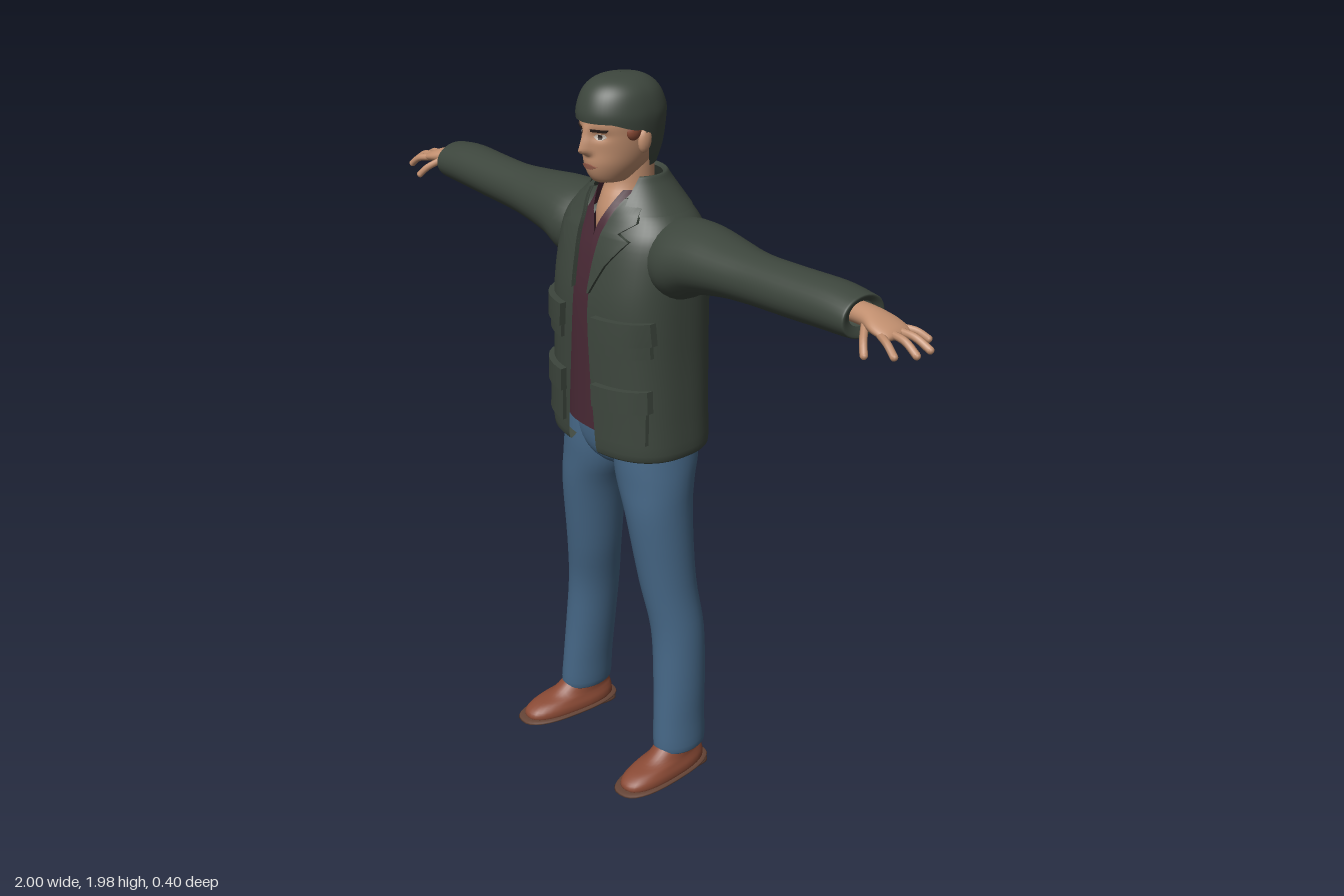
import * as THREE from 'three';
import { mergeGeometries } from 'three/addons/utils/BufferGeometryUtils.js';

const mat = (name, color, side = THREE.FrontSide) => {
  const m = new THREE.MeshStandardMaterial({ color, side });
  m.name = name;
  return m;
};
const { smoothstep, clamp, lerp } = THREE.MathUtils;

// A cross-section row is [height, halfWidth, zFront, zBack, centreX, roundness, frontGap].
const DEFAULTS = [0, 0, 0, 0, 0, 2, 0];
const at = (rows, s) => {
  const n = rows.length - 1, i = Math.min(Math.floor(s), n - 1), f = s - i;
  return DEFAULTS.map((d, k) => {
    const v = (j) => rows[clamp(j, 0, n)][k] ?? d;
    const [a, b, c, e] = [v(i - 1), v(i), v(i + 1), v(i + 2)];
    return b + 0.5 * f * (c - a + f * (2 * a - 5 * b + 4 * c - e + f * (3 * (b - c) + e - a)));
  });
};
const findRow = (rows, y) => {
  let lo = 0, hi = rows.length - 1;
  for (let k = 0; k < 24; k++) {
    const m = (lo + hi) / 2;
    if (at(rows, m)[0] < y) lo = m; else hi = m;
  }
  return lo;
};
const pw = (v, p) => Math.sign(v) * Math.abs(v) ** p;

// Skin stacked cross-sections; open leaves the front gap, hem sets a lower edge by angle.
function loft(rows, { nu = 32, sub = 4, open = false, hem, bump } = {}) {
  const nv = (rows.length - 1) * sub, cols = open ? nu + 1 : nu, pos = [], idx = [];
  for (let j = 0; j <= nv; j++) {
    for (let i = 0; i < cols; i++) {
      const u = i / nu;
      const s0 = hem ? findRow(rows, hem(Math.PI - Math.abs(u * 2 - 1) * Math.PI)) : 0;
      const [y, rx, zf, zb, cx, n, gap] = at(rows, lerp(s0, rows.length - 1, j / nv));
      const g = open ? Math.asin(clamp(gap / rx, 0, 1) ** (n / 2)) : 0;
      const t = g + u * (Math.PI * 2 - 2 * g);
      const x = cx + rx * pw(Math.sin(t), 2 / n);
      let z = (zf + zb) / 2 + (zf - zb) / 2 * pw(Math.cos(t), 2 / n);
      if (bump && Math.cos(t) > 0) z += bump(x, y);
      pos.push(x, y, z);
    }
  }
  for (let j = 0; j < nv; j++) {
    for (let i = 0; i < nu; i++) {
      const a = j * cols + i, b = j * cols + (i + 1) % cols;
      idx.push(a, b, b + cols, a, b + cols, a + cols);
    }
  }
  const g = new THREE.BufferGeometry();
  g.setAttribute('position', new THREE.Float32BufferAttribute(pos, 3));
  g.setIndex(idx);
  g.computeVertexNormals();
  return g;
}
// The same along +x: rows are [x, halfHeight, zFront, zBack, centreY].
const limb = (rows, opts) =>
  loft(rows.map(([x, h, f, b, cy]) => [x, h, f, b, -cy]), opts).rotateZ(-Math.PI / 2);

// Front depth of a lofted form at (x, y)
const front = (rows) => (x, y) => {
  const [, rx, zf, zb, , n] = at(rows, findRow(rows, y));
  const sn = clamp(Math.abs(x) / rx, 0, 1) ** (n / 2);
  return (zf + zb) / 2 + (zf - zb) / 2 * Math.sqrt(1 - sn * sn) ** (2 / n);
};
// Thin panel lying on a front surface; rows are [y, xInner, xOuter].
function panel(rows, depth, d = 0.008) {
  const n = rows.length - 1, g = new THREE.BoxGeometry(1, 1, 1, 8, n * 3, 1), p = g.attributes.position;
  for (let k = 0; k < p.count; k++) {
    const v = (p.getY(k) + 0.5) * n, i = Math.min(Math.floor(v), n - 1), f = v - i;
    const [y, a, b] = rows[i].map((q, c) => lerp(q, rows[i + 1][c], f));
    const x = lerp(a, b, p.getX(k) + 0.5);
    p.setXYZ(k, x, y, depth(x, y) + (p.getZ(k) > 0 ? d : -0.006));
  }
  g.computeVertexNormals();
  return g;
}
function finger(points, r) {
  const pts = points.map((p) => new THREE.Vector3(...p));
  const tip = pts[pts.length - 1];
  return mergeGeometries([
    new THREE.TubeGeometry(new THREE.CatmullRomCurve3(pts), 8, r, 8),
    new THREE.SphereGeometry(r, 8, 6).translate(tip.x, tip.y, tip.z),
  ]);
}
function mirrored(geo) {
  const g = geo.clone().scale(-1, 1, 1), ix = g.index.array;
  for (let k = 0; k < ix.length; k += 3) [ix[k], ix[k + 1]] = [ix[k + 1], ix[k]];
  g.computeVertexNormals();
  return g;
}

const JACKET = [
  [1.005, 0.2, 0.125, -0.165, 0, 2.5, 0.058], [1.0, 0.228, 0.148, -0.185, 0, 2.5, 0.058],
  [1.1, 0.224, 0.152, -0.187, 0, 2.5, 0.05], [1.25, 0.216, 0.154, -0.19, 0, 2.5, 0.038],
  [1.4, 0.214, 0.152, -0.19, 0, 2.5, 0.03], [1.5, 0.213, 0.137, -0.188, 0, 2.5, 0.035],
  [1.58, 0.208, 0.117, -0.177, 0, 2.4, 0.042], [1.625, 0.185, 0.095, -0.16, 0, 2.3, 0.05],
  [1.66, 0.145, 0.08, -0.142, 0, 2.2, 0.06], [1.695, 0.1, 0.062, -0.122, 0, 2, 0.072],
  [1.72, 0.085, 0.05, -0.108, 0, 2, 0.074],
];
const COLLAR = [
  [1.645, 0.165, 0.095, -0.156, 0, 2.2, 0.085], [1.675, 0.133, 0.082, -0.142, 0, 2.1, 0.08],
  [1.71, 0.103, 0.068, -0.122, 0, 2, 0.078], [1.73, 0.09, 0.055, -0.108, 0, 2, 0.076],
  [1.722, 0.078, 0.045, -0.098, 0, 2, 0.072],
];
const HEAD = [
  [1.712, 0.02, 0.075, 0.01], [1.716, 0.038, 0.097, -0.01], [1.735, 0.053, 0.113, -0.04],
  [1.765, 0.069, 0.122, -0.07], [1.8, 0.08, 0.122, -0.085], [1.84, 0.086, 0.125, -0.09],
  [1.88, 0.089, 0.126, -0.09], [1.93, 0.08, 0.1, -0.08], [1.96, 0.04, 0.06, -0.03], [1.965, 0.001, 0.02, 0.01],
];
const HAIR = [
  [1.75, 0.07, 0.1, -0.085], [1.8, 0.087, 0.12, -0.1], [1.86, 0.098, 0.134, -0.107],
  [1.9, 0.098, 0.136, -0.107], [1.945, 0.083, 0.117, -0.085], [1.972, 0.05, 0.08, -0.045], [1.98, 0.001, 0.018, 0.015],
];
// Nose and eye sockets
const faceBump = (x, y) =>
  0.03 * Math.exp(-((x / 0.013) ** 2)) * smoothstep(y, 1.782, 1.802) * clamp((1.87 - y) / 0.065, 0, 1)
  - 0.008 * Math.exp(-(((Math.abs(x) - 0.035) / 0.02) ** 2) - ((y - 1.84) / 0.012) ** 2);

export function createModel() {
  const green = mat('darkGreen', 0x3d463d, THREE.DoubleSide);
  const shirt = mat('maroon', 0x4a2a36, THREE.DoubleSide);
  const denim = mat('denim', 0x456685, THREE.DoubleSide);
  const skin = mat('skin', 0xc08e6e);
  const leather = mat('brownLeather', 0x8a4a35);
  const sole = mat('sole', 0x654436);
  const dark = mat('darkBrown', 0x2e221d);
  const lip = mat('lip', 0x985f4d);
  const white = mat('eyeWhite', 0xc9bfb4);

  const model = new THREE.Group();
  const add = (name, geo, m) => {
    const mesh = new THREE.Mesh(geo, m);
    mesh.name = name;
    model.add(mesh);
  };
  const pair = (name, geo, m) => {
    add(name + 'Left', geo, m);
    add(name + 'Right', mirrored(geo), m);
  };

  // Jacket
  const chest = front(JACKET);
  add('jacketBody', loft(JACKET, { nu: 56, open: true }), green);
  add('jacketCollar', loft(COLLAR, { nu: 48, open: true }), green);
  pair('sleeve', limb([
    [0.1, 0.07, 0.04, -0.12, 1.55], [0.19, 0.105, 0.08, -0.155, 1.535], [0.28, 0.088, 0.075, -0.138, 1.555],
    [0.38, 0.072, 0.065, -0.112, 1.563], [0.48, 0.064, 0.055, -0.087, 1.566], [0.6, 0.062, 0.05, -0.09, 1.568],
    [0.72, 0.06, 0.045, -0.1, 1.57], [0.795, 0.054, 0.042, -0.099, 1.568], [0.81, 0.049, 0.036, -0.094, 1.568],
    [0.8, 0.03, 0.01, -0.07, 1.572],
  ]), green);
  pair('lapel', panel([
    [1.44, 0.031, 0.036], [1.52, 0.036, 0.078], [1.588, 0.043, 0.13], [1.603, 0.045, 0.095],
    [1.63, 0.052, 0.128], [1.68, 0.07, 0.11],
  ], chest), green);
  for (const [name, lo, hi, flap] of [['upper', 1.29, 1.375, 1.325], ['lower', 1.05, 1.19, 1.14]]) {
    pair(name + 'Pocket', panel([[lo, 0.07, 0.198], [hi, 0.066, 0.195]], chest, 0.011), green);
    pair(name + 'PocketFlap', panel([[flap, 0.064, 0.202], [hi + 0.012, 0.062, 0.199]], chest, 0.019), green);
  }

  // Shirt, open in a V at the neck
  add('shirt', loft([
    [1.04, 0.185, 0.122, -0.15, 0, 2.4, 0], [1.2, 0.18, 0.125, -0.15, 0, 2.4, 0], [1.4, 0.18, 0.128, -0.15, 0, 2.4, 0],
    [1.52, 0.165, 0.117, -0.14, 0, 2.3, 0], [1.59, 0.13, 0.102, -0.12, 0, 2.2, 0.002],
    [1.65, 0.087, 0.085, -0.1, 0, 2, 0.028], [1.695, 0.074, 0.066, -0.09, 0, 2, 0.048],
  ], { nu: 40, open: true }), shirt);

  // Jeans
  pair('jeansLeg', loft([
    [0.095, 0.04, 0.04, -0.085, 0.214], [0.085, 0.058, 0.058, -0.105, 0.214], [0.18, 0.06, 0.054, -0.107, 0.208],
    [0.3, 0.065, 0.046, -0.111, 0.2], [0.45, 0.069, 0.043, -0.113, 0.186], [0.6, 0.075, 0.064, -0.1, 0.161],
    [0.8, 0.086, 0.092, -0.1, 0.139], [0.9, 0.105, 0.098, -0.117, 0.116], [0.97, 0.108, 0.1, -0.138, 0.106],
    [1.06, 0.1, 0.095, -0.14, 0.1],
  ]), denim);
  add('jeansSeat', loft([
    [0.915, 0.02, 0.04, -0.06], [0.945, 0.12, 0.085, -0.105], [1.0, 0.208, 0.1, -0.143, 0, 2.4],
    [1.08, 0.2, 0.1, -0.143, 0, 2.4], [1.12, 0.17, 0.08, -0.12],
  ]), denim);

  // Shoes, toes turned slightly out
  const splay = (g) => g.rotateY(0.08).translate(0.214, 0, 0);
  pair('shoe', splay(loft([
    [0.014, 0.04, 0.16, -0.08, 0, 2.4], [0.016, 0.056, 0.188, -0.104, 0, 2.5], [0.035, 0.057, 0.186, -0.106, 0, 2.5],
    [0.053, 0.05, 0.155, -0.103, 0, 2.4], [0.068, 0.046, 0.1, -0.1], [0.1, 0.044, 0.052, -0.095], [0.13, 0.04, 0.04, -0.085],
  ])), leather);
  pair('shoeSole', splay(loft([
    [0.007, 0.001, 0.04, 0.038], [0.007, 0.058, 0.19, -0.1, 0, 2.5], [0.018, 0.061, 0.195, -0.107, 0, 2.5],
    [0.019, 0.001, 0.04, 0.038],
  ])), sole);
  pair('shoeHeel', splay(loft([
    [0, 0.001, -0.06, -0.062], [0, 0.05, -0.02, -0.107, 0, 3], [0.016, 0.05, -0.02, -0.107, 0, 3],
  ])), sole);

  // Hands
  pair('palm', limb([
    [0.78, 0.026, 0.0, -0.06, 1.574], [0.83, 0.025, 0.006, -0.063, 1.574], [0.87, 0.021, 0.02, -0.073, 1.568],
    [0.905, 0.016, 0.02, -0.072, 1.56], [0.92, 0.008, 0.01, -0.06, 1.557], [0.922, 0.001, -0.02, -0.03, 1.557],
  ]), skin);
  const fingers = {
    thumb: [[0.84, 1.565, 0.0], [0.87, 1.54, 0.035], [0.888, 1.518, 0.05]],
    indexFinger: [[0.895, 1.56, 0.01], [0.93, 1.553, 0.024], [0.958, 1.532, 0.03]],
    middleFinger: [[0.9, 1.561, -0.014], [0.95, 1.556, -0.012], [0.988, 1.534, -0.01]],
    ringFinger: [[0.9, 1.561, -0.038], [0.95, 1.557, -0.045], [0.991, 1.538, -0.05]],
    littleFinger: [[0.89, 1.56, -0.06], [0.925, 1.556, -0.078], [0.95, 1.542, -0.09]],
  };
  for (const [name, pts] of Object.entries(fingers)) pair(name, finger(pts, 0.0095), skin);

  // Neck and head
  add('neck', loft([
    [1.54, 0.06, 0.08, -0.07], [1.62, 0.07, 0.08, -0.08], [1.67, 0.062, 0.066, -0.08],
    [1.71, 0.057, 0.05, -0.08], [1.8, 0.055, 0.045, -0.08],
  ]), skin);
  add('head', loft(HEAD, { nu: 72, sub: 8, bump: faceBump }), skin);
  add('hair', loft(HAIR, {
    nu: 56, sub: 5, hem: (a) => lerp(1.874, 1.757, smoothstep(a, 1.5, 1.95)) - 0.018 * smoothstep(a, 0.7, 1.4),
  }), green);
  pair('ear', new THREE.SphereGeometry(1, 14, 10).scale(0.012, 0.032, 0.02).rotateX(-0.15).translate(0.087, 1.825, 0.01), skin);
  pair('temple', new THREE.SphereGeometry(1, 14, 10).scale(0.012, 0.022, 0.022).translate(0.08, 1.85, 0.04), leather);

  // Facial details
  const face = front(HEAD), skinAt = (x, y) => face(x, y) + faceBump(x, y);
  pair('eye', panel([[1.831, 0.029, 0.04], [1.838, 0.021, 0.05], [1.845, 0.027, 0.045]], skinAt, 0.002), white);
  pair('iris', panel([[1.832, 0.032, 0.039], [1.838, 0.03, 0.041], [1.844, 0.032, 0.039]], skinAt, 0.003), dark);
  pair('eyebrow', panel([[1.851, 0.018, 0.052], [1.858, 0.018, 0.058]], skinAt, 0.004), dark);
  add('mouth', panel([[1.753, -0.012, 0.012], [1.76, -0.027, 0.027], [1.766, -0.01, 0.01]], skinAt, 0.004), lip);
  return model;
}
